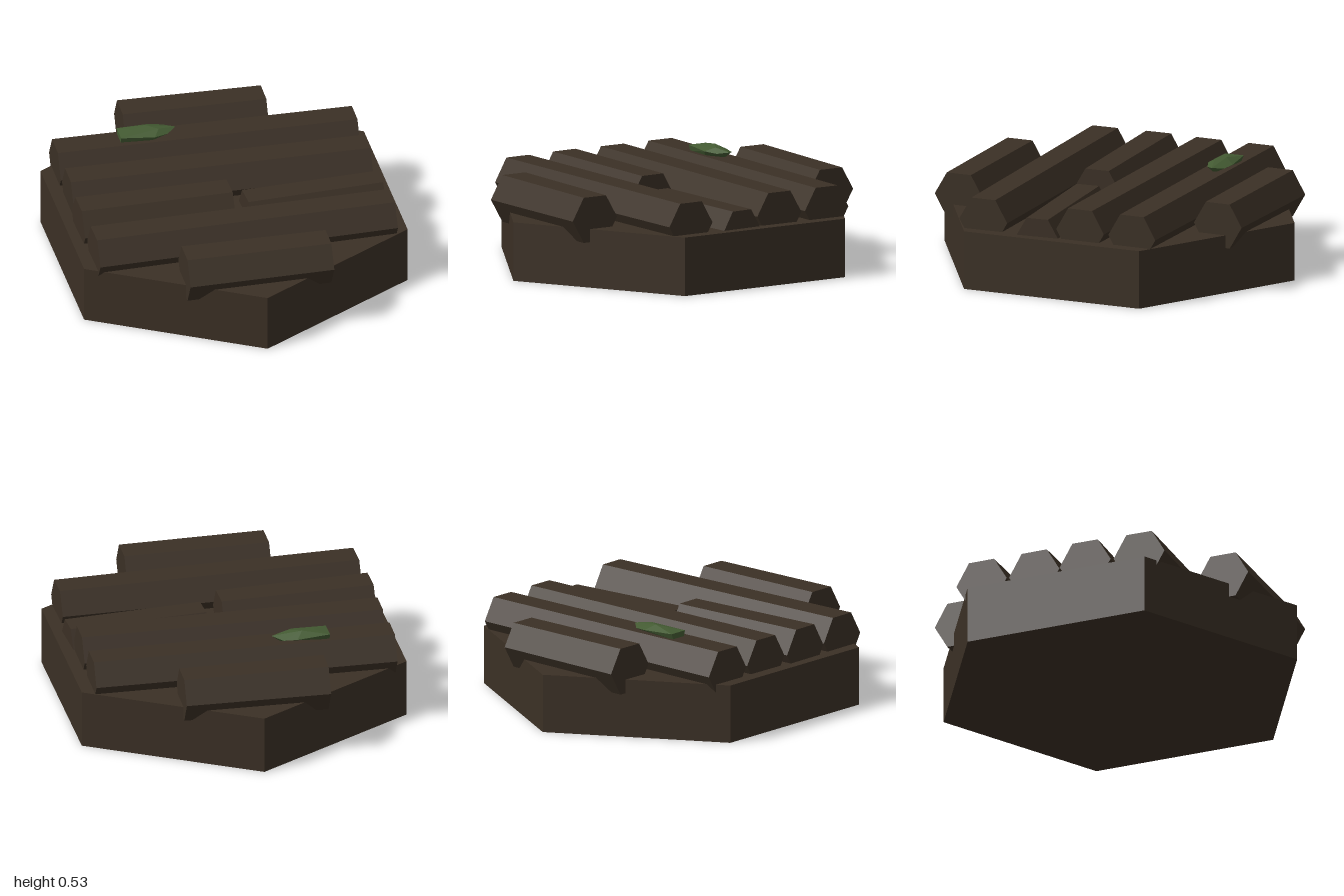
import * as THREE from 'three';
import { ConvexGeometry } from 'three/addons/geometries/ConvexGeometry.js';

export function createModel() {
  const group = new THREE.Group();
  const flat = (name, color) => {
    const m = new THREE.MeshStandardMaterial({ color, flatShading: true });
    m.name = name;
    return m;
  };
  const wood = flat('dark wood', 0x3b3025);
  const moss = flat('moss green', 0x435a32);

  const add = (name, geometry, material) => {
    const mesh = new THREE.Mesh(geometry, material);
    mesh.name = name;
    group.add(mesh);
    return mesh;
  };

  // Hexagonal ground tile with points at front and back
  add('base', new THREE.CylinderGeometry(1, 1, 0.31, 6), wood).position.y = 0.155;

  // Slightly tapered six-sided logs lying along x:
  // [name, left x, right x, left-end z, right-end z, left radius, right radius, centre y]
  const logs = [
    ['backLog', -0.383, 0.383, -0.747, -0.733, 0.143, 0.137, 0.36],
    ['secondLog', -0.8, 0.8, -0.449, -0.429, 0.143, 0.135, 0.36],
    ['thirdLog', -0.8, 0.8, -0.151, -0.133, 0.143, 0.137, 0.36],
    ['brokenLogLong', -0.812, 0, 0.142, 0.129, 0.143, 0.133, 0.36],
    ['brokenLogShort', 0.08, 0.81, 0.146, 0.107, 0.125, 0.119, 0.303],
    ['fifthLog', -0.8, 0.8, 0.442, 0.42, 0.143, 0.136, 0.36],
    ['frontLog', -0.385, 0.385, 0.742, 0.746, 0.143, 0.138, 0.36],
  ];
  for (const [name, x0, x1, z0, z1, r0, r1, y] of logs) {
    const geo = new THREE.CylinderGeometry(r1, r0, Math.hypot(x1 - x0, z1 - z0), 6);
    geo.rotateZ(-Math.PI / 2);
    const log = add(name, geo, wood);
    log.position.set((x0 + x1) / 2, y, (z0 + z1) / 2);
    log.rotation.y = -Math.atan2(z1 - z0, x1 - x0);
  }

  // Faceted moss patch on the second log
  const points = [
    [-0.457, 0.512, -0.505], [-0.457, 0.512, -0.4], [-0.457, 0.478, -0.49], [-0.457, 0.478, -0.41],
    [-0.38, 0.525, -0.45], [-0.315, 0.532, -0.47], [-0.25, 0.525, -0.43],
    [-0.28, 0.505, -0.381], [-0.205, 0.5, -0.41], [-0.155, 0.51, -0.455],
    [-0.21, 0.5, -0.505], [-0.28, 0.505, -0.52], [-0.2, 0.474, -0.45], [-0.3, 0.474, -0.4],
  ].map((p) => new THREE.Vector3(...p));
  add('mossPatch', new ConvexGeometry(points), moss);

  return group;
}
